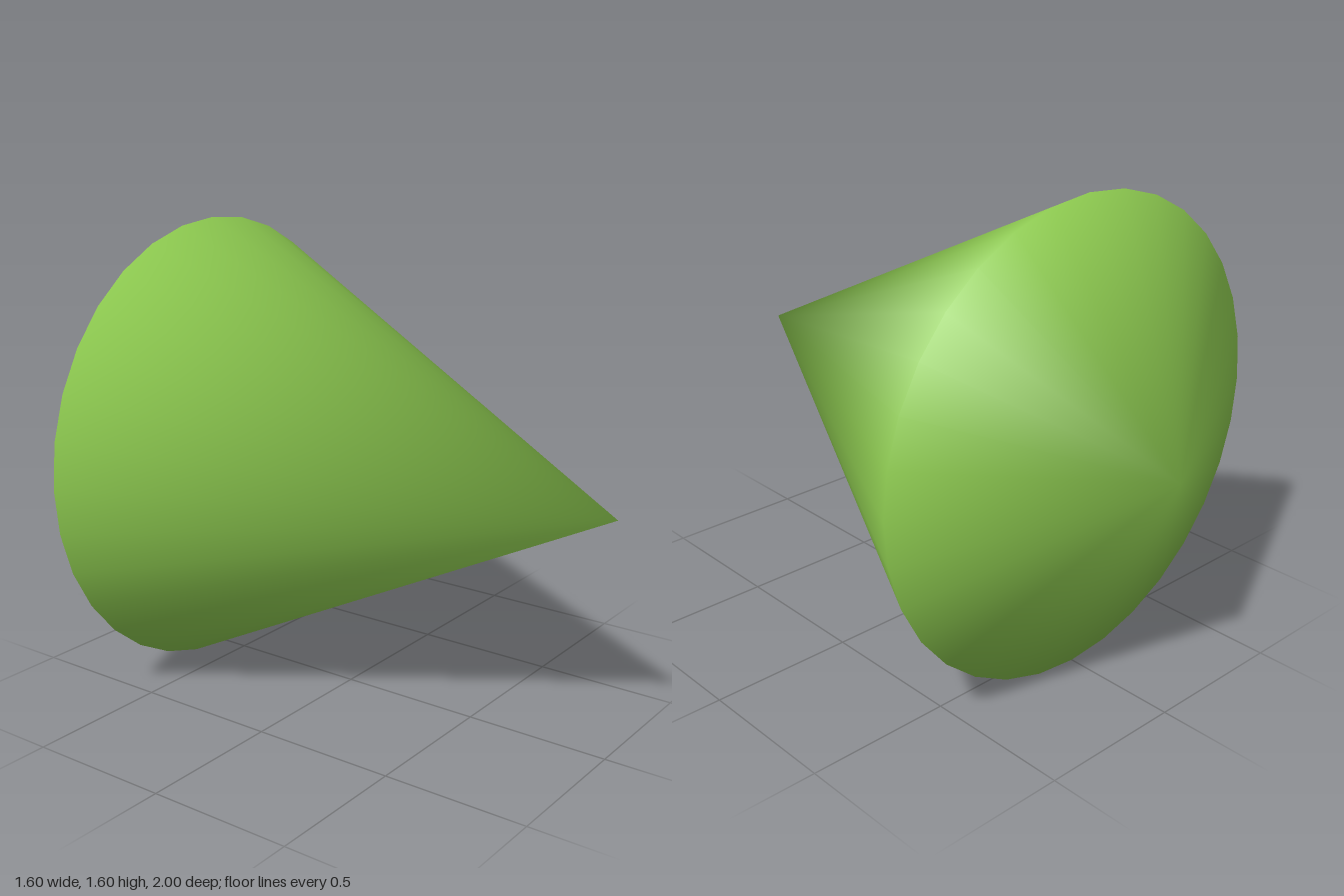
import * as THREE from 'three';

// Blend the normals over the rim, so both cones shade as one rounded body
function softenNormals(geometry, front, back) {
  const pos = geometry.attributes.position;
  const nor = geometry.attributes.normal;
  const rim = front.clone().normalize().add(back.clone().normalize()).normalize();
  for (let i = 0; i < pos.count; i++) {
    const x = pos.getX(i), y = pos.getY(i), r = Math.hypot(x, y);
    if (r < 1e-4) nor.setXYZ(i, 0, 0, Math.sign(pos.getZ(i)));
    else nor.setXYZ(i, (x / r) * rim.x, (y / r) * rim.x, rim.y);
  }
}

export function createModel() {
  const group = new THREE.Group();
  group.name = 'doubleCone';
  const green = new THREE.MeshStandardMaterial({ color: 0x8cc84f });
  green.name = 'leaf green';

  // Long cone to the front, short cone to the back, sharing one rim
  const radius = 0.8, rimZ = -0.6, tipZ = 1, backZ = -1;
  const profile = [
    new THREE.Vector2(0, backZ),
    new THREE.Vector2(radius, rimZ),
    new THREE.Vector2(0, tipZ),
  ];
  const geometry = new THREE.LatheGeometry(profile, 32);
  geometry.rotateX(Math.PI / 2);
  softenNormals(
    geometry,
    new THREE.Vector2(tipZ - rimZ, radius), // (radial, z) normal of the front cone
    new THREE.Vector2(rimZ - backZ, -radius), // and of the back cone
  );

  const body = new THREE.Mesh(geometry, green);
  body.name = 'body';
  body.position.y = radius;
  group.add(body);
  return group;
}
